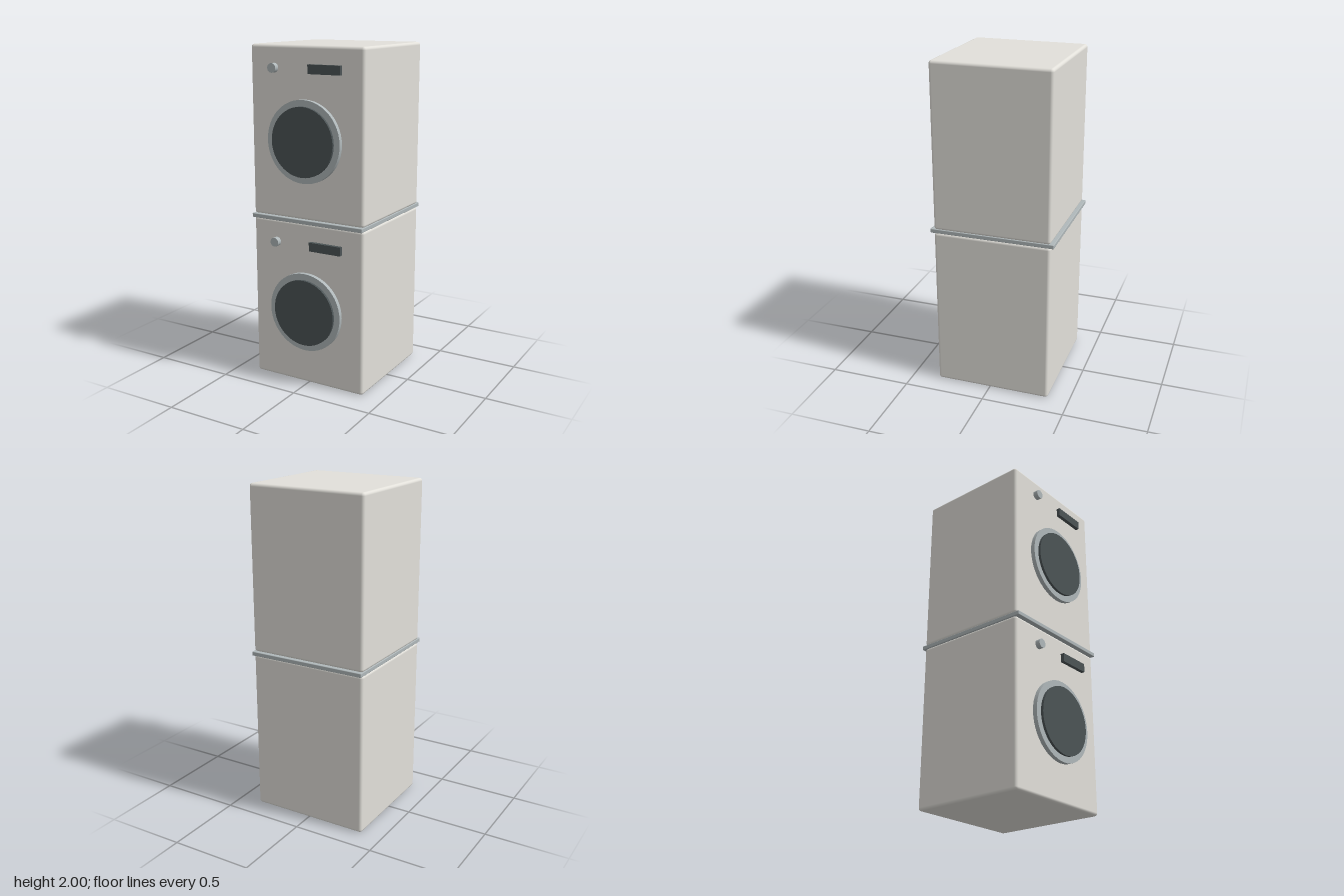
import * as THREE from 'three';
import { RoundedBoxGeometry } from 'three/addons/geometries/RoundedBoxGeometry.js';

const enamel = new THREE.MeshStandardMaterial({ color: 0xe2e0da });
const metal = new THREE.MeshStandardMaterial({ color: 0xb0b8ba });
const dark = new THREE.MeshStandardMaterial({ color: 0x4c5456 });

function addPart(parent, name, geometry, material, x, y, z) {
  const mesh = new THREE.Mesh(geometry, material);
  mesh.name = name;
  mesh.position.set(x, y, z);
  parent.add(mesh);
  return mesh;
}

// Disc facing the front, spanning z0 to z1
function addDisc(parent, name, radius, z0, z1, material, x, y, sides) {
  const geometry = new THREE.CylinderGeometry(radius, radius, z1 - z0, sides).rotateX(Math.PI / 2);
  return addPart(parent, name, geometry, material, x, y, (z0 + z1) / 2);
}

function createMachine(name, baseY) {
  const machine = new THREE.Group();
  machine.name = name;
  machine.position.y = baseY;

  // Cabinet with softly rounded edges
  addPart(machine, 'cabinet', new RoundedBoxGeometry(0.738, 0.991, 0.706, 3, 0.018), enamel, 0, 0.4955, -0.017);

  // Round door: metal rim and dark window standing slightly proud
  addDisc(machine, 'doorRim', 0.237, 0.346, 0.372, metal, 0, 0.459, 48);
  addDisc(machine, 'doorWindow', 0.2, 0.36, 0.387, dark, 0, 0.459, 48);

  // Controls along the top
  addDisc(machine, 'controlKnob', 0.027, 0.357, 0.387, metal, -0.195, 0.864, 24);
  addPart(machine, 'displayPanel', new THREE.BoxGeometry(0.206, 0.052, 0.022), dark, 0.134, 0.864, 0.358);

  return machine;
}

export function createModel() {
  const model = new THREE.Group();
  model.name = 'stackedLaundryMachines';

  model.add(createMachine('lowerMachine', 0));
  model.add(createMachine('upperMachine', 1.009));

  // Thin shelf between the two machines
  addPart(model, 'stackingShelf', new RoundedBoxGeometry(0.74, 0.025, 0.747, 2, 0.004), metal, 0, 1.001, -0.0165);

  return model;
}
